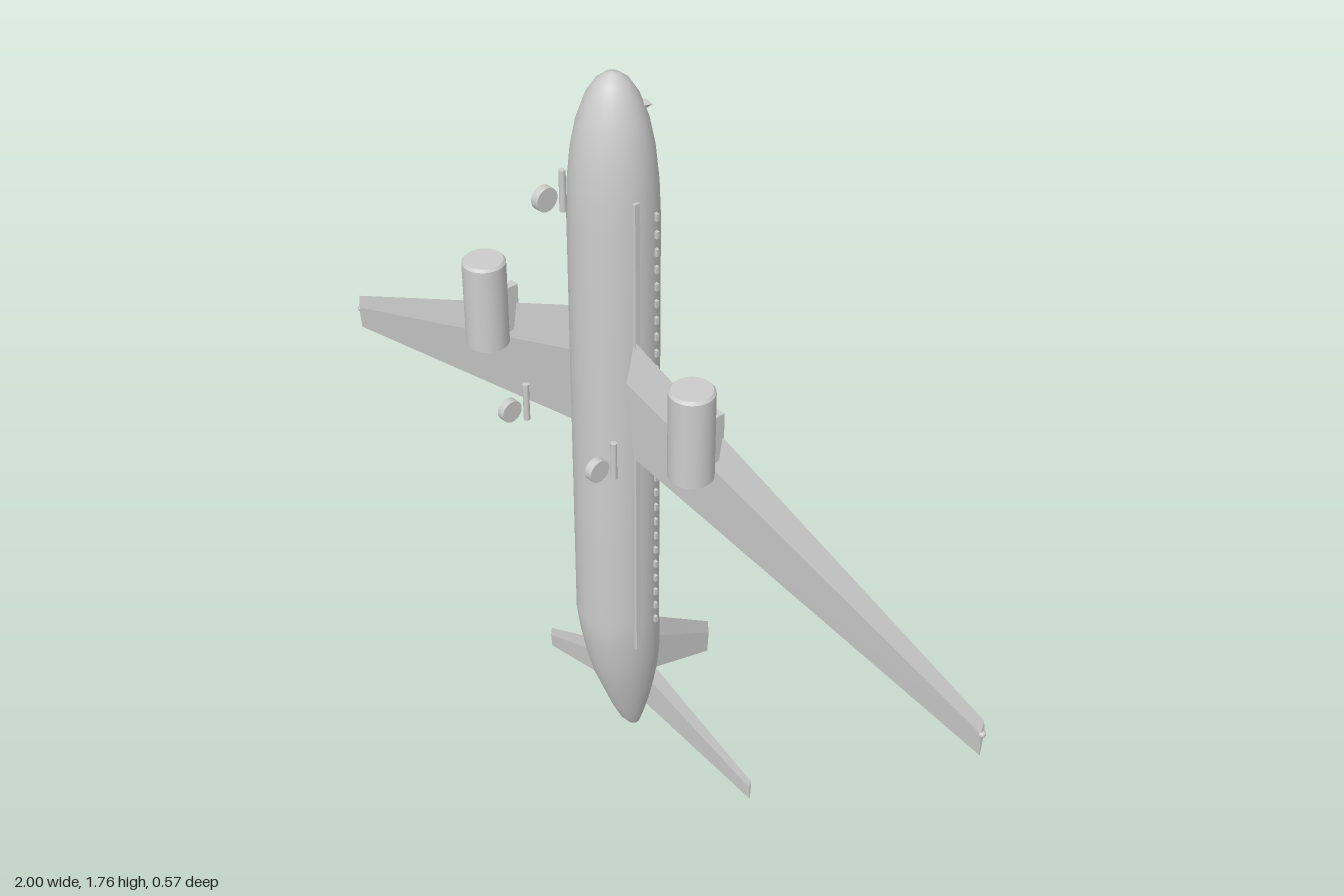
import * as THREE from 'three';

// Skin closed rings of points, cap both ends and make sure faces point outward
function loft(rings, smooth) {
  const n = rings[0].length, last = rings.length - 1;
  const pos = [], idx = [];
  rings.forEach((ring) => ring.forEach((p) => pos.push(...p)));
  for (let r = 0; r < last; r++) {
    for (let i = 0; i < n; i++) {
      const a = r * n + i, b = r * n + (i + 1) % n;
      idx.push(a, a + n, b, b, a + n, b + n);
    }
  }
  for (let i = 1; i < n - 1; i++) {
    idx.push(0, i, i + 1, last * n, last * n + i + 1, last * n + i);
  }
  // Signed volume decides the winding
  let volume = 0;
  const at = (i) => new THREE.Vector3().fromArray(pos, i * 3);
  for (let i = 0; i < idx.length; i += 3) {
    volume += at(idx[i]).dot(at(idx[i + 1]).cross(at(idx[i + 2])));
  }
  if (volume < 0) idx.reverse();
  let geo = new THREE.BufferGeometry();
  geo.setAttribute('position', new THREE.Float32BufferAttribute(pos, 3));
  geo.setIndex(idx);
  if (!smooth) geo = geo.toNonIndexed();
  geo.computeVertexNormals();
  return geo;
}

// Kite-shaped aerofoil; place(y, t) turns chord height and thickness into a point
function foil(lead, trail, thick, place) {
  const ridge = lead + (trail - lead) * 0.35;
  return [place(lead, 0), place(ridge, thick / 2), place(trail, thick * 0.08),
    place(trail, -thick * 0.08), place(ridge, -thick / 2)];
}

export function createModel() {
  const model = new THREE.Group();
  model.name = 'airliner';
  const grey = new THREE.MeshStandardMaterial({ color: 0xcccccc });
  grey.name = 'lightGrey';

  function add(name, geo, x = 0, y = 0, z = 0, parent = model) {
    const mesh = new THREE.Mesh(geo, grey);
    mesh.name = name;
    mesh.position.set(x, y, z);
    parent.add(mesh);
    return mesh;
  }

  // Fuselage, tail to nose: height, half width, back z, belly z
  const sections = [
    [0.028, 0.003, 0.034, 0.040], [0.04, 0.012, 0.026, 0.055], [0.07, 0.023, 0.016, 0.077],
    [0.12, 0.038, 0.003, 0.1], [0.18, 0.055, -0.007, 0.122], [0.24, 0.069, -0.012, 0.144],
    [0.30, 0.08, -0.013, 0.159], [0.37, 0.088, -0.009, 0.172], [0.44, 0.093, -0.005, 0.181],
    [0.75, 0.093, -0.005, 0.181], [1.1, 0.093, -0.005, 0.181], [1.45, 0.093, -0.005, 0.181],
    [1.53, 0.09, -0.002, 0.178], [1.6, 0.083, 0.005, 0.171], [1.66, 0.071, 0.017, 0.159],
    [1.71, 0.053, 0.035, 0.141], [1.74, 0.034, 0.054, 0.122], [1.754, 0.016, 0.072, 0.104],
    [1.758, 0.002, 0.086, 0.09],
  ];
  add('fuselage', loft(sections.map(([y, hw, z0, z1]) => {
    const ring = [];
    for (let i = 0; i < 32; i++) {
      const a = (i / 32) * Math.PI * 2;
      ring.push([Math.cos(a) * hw, y, (z0 + z1) / 2 + Math.sin(a) * (z1 - z0) / 2]);
    }
    return ring;
  }), true));

  // Upright fin, set to the right of the tail
  const finRing = (z, lead, trail, thick) =>
    foil(lead, trail, thick, (y, t) => [-0.085 + t, y, z]);
  add('fin', loft([finRing(0.005, 0.3, 0.093, 0.014), finRing(-0.283, 0.098, 0, 0.008)]));

  const windowGeo = new THREE.BoxGeometry(0.012, 0.016, 0.007);
  const stripGeo = new THREE.BoxGeometry(0.008, 1.147, 0.012);
  const engineGeo = new THREE.CylinderGeometry(0.047, 0.047, 0.2, 32);
  const lipGeo = new THREE.CylinderGeometry(0.042, 0.047, 0.006, 32);
  const pylonGeo = new THREE.BoxGeometry(0.02, 0.11, 0.045);
  const strutGeo = new THREE.CylinderGeometry(0.007, 0.007, 0.09, 12);
  const wheelGeo = new THREE.CylinderGeometry(0.025, 0.025, 0.018, 24).rotateZ(Math.PI / 2);
  const lightGeo = new THREE.SphereGeometry(0.008, 12, 8);
  const panelGeo = new THREE.OctahedronGeometry(0.014).scale(1, 0.8, 0.8);

  function gear(name, x, y) {
    const group = new THREE.Group();
    group.name = name;
    model.add(group);
    add('strut', strutGeo, x, y, 0.216, group);
    add('wheel', wheelGeo, x, y, 0.261, group);
  }
  gear('noseGear', 0, 1.553);

  // Paired parts
  for (const [side, s] of [['left', 1], ['right', -1]]) {
    const ring = (x, z, lead, trail, thick) =>
      foil(lead, trail, thick, (y, t) => [s * x, y, z + t]);

    add(side + 'Wing', loft([
      ring(0.03, 0.119, 1.234, 0.927, 0.032),
      ring(0.993, 0.047, 0.766, 0.675, 0.01),
    ]));
    add(side + 'WingtipLight', lightGeo, s * 0.992, 0.73, 0.047);
    add(side + 'Tailplane', loft([
      ring(0, 0.021, 0.254, 0.099, 0.014),
      ring(0.35, -0.001, 0.071, 0.013, 0.006),
    ]));

    // Engine with its front lip and pylon
    const engine = new THREE.Group();
    engine.name = side + 'Engine';
    model.add(engine);
    add('nacelle', engineGeo, s * 0.317, 1.13, 0.172, engine);
    add('intakeLip', lipGeo, s * 0.317, 1.233, 0.172, engine);
    add('pylon', pylonGeo, s * 0.317, 1.09, 0.115, engine);

    gear(side + 'MainGear', s * 0.138, 0.985);

    // Side trim, cabin windows and cockpit pane
    add(side + 'TrimStrip', stripGeo, s * 0.0905, 0.948, 0.11);
    for (let i = 0; i < 27; i++) {
      add(side + 'CabinWindow', windowGeo, s * 0.0885, 0.43 + i * 0.04, 0.056);
    }
    add(side + 'CockpitPane', panelGeo, s * 0.037, 1.688, 0.037).rotation.y = s * 0.6;
  }
  return model;
}
